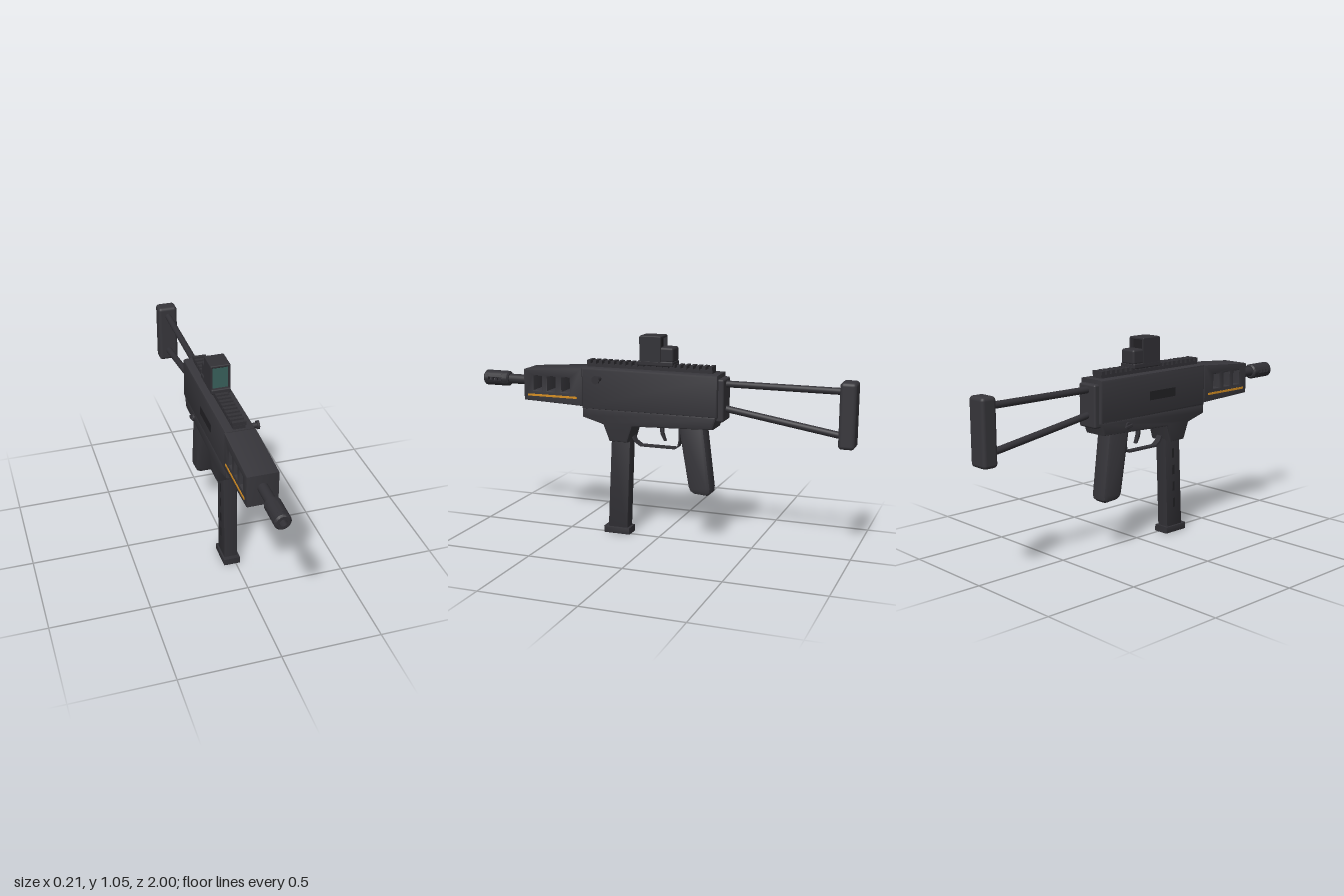
import * as THREE from 'three';
import { RoundedBoxGeometry } from 'three/addons/geometries/RoundedBoxGeometry.js';
import { toCreasedNormals } from 'three/addons/utils/BufferGeometryUtils.js';

export function createModel() {
  const root = new THREE.Group();
  const model = new THREE.Group();
  model.name = 'body';
  model.position.x = -0.02; // the side knob shifts the body off centre
  root.add(model);

  const mat = (name, color) => {
    const m = new THREE.MeshStandardMaterial({ color });
    m.name = name;
    return m;
  };
  const polymer = mat('charcoal polymer', 0x37363b);
  const steel = mat('dark steel', 0x323136);
  const recess = mat('recess black', 0x222125);
  const amber = mat('amber stripe', 0xd48d22);
  const lens = mat('teal lens', 0x39605b);

  const add = (name, geo, material, x = 0, y = 0, z = 0) => {
    const mesh = new THREE.Mesh(geo, material);
    mesh.name = name;
    mesh.position.set(x, y, z);
    model.add(mesh);
    return mesh;
  };
  const box = (name, material, size, pos) =>
    add(name, new THREE.BoxGeometry(...size), material, ...pos);
  const rounded = (name, material, size, r, pos) =>
    add(name, new RoundedBoxGeometry(...size, 3, r), material, ...pos);
  const points = (list) => list.map(([a, b]) => new THREE.Vector2(a, b));

  // Extrude a (z, y) side profile across x, with a bevelled edge
  const slab = (name, material, shape, width, bevel) => {
    const geo = new THREE.ExtrudeGeometry(shape, {
      depth: width - 2 * bevel, bevelEnabled: bevel > 0, bevelSize: bevel,
      bevelThickness: bevel, bevelOffset: -bevel, bevelSegments: 2, curveSegments: 12,
    });
    geo.translate(0, 0, -(width - 2 * bevel) / 2);
    geo.rotateY(-Math.PI / 2);
    return add(name, toCreasedNormals(geo, 0.6), material);
  };
  // Round rod between two points
  const rod = (name, material, a, b, r, sides = 20) => {
    const from = new THREE.Vector3(...a), to = new THREE.Vector3(...b);
    const dir = to.clone().sub(from);
    const mesh = add(name, new THREE.CylinderGeometry(r, r, dir.length(), sides), material);
    mesh.position.copy(from).add(to).multiplyScalar(0.5);
    mesh.quaternion.setFromUnitVectors(new THREE.Vector3(0, 1, 0), dir.normalize());
    return mesh;
  };

  // Upper and lower receiver
  slab('upperReceiver', polymer, new THREE.Shape(points([
    [0.405, 0.665], [0.405, 0.88], [-0.325, 0.88], [-0.325, 0.665]])), 0.15, 0.012);
  slab('lowerReceiver', polymer, new THREE.Shape(points([
    [0.405, 0.672], [0.405, 0.62], [0.29, 0.588], [0.256, 0.502], [0.156, 0.502],
    [0.128, 0.588], [-0.30, 0.604], [-0.323, 0.672]])), 0.142, 0.012);
  rounded('rearCap', polymer, [0.116, 0.215, 0.05], 0.01, [0, 0.752, -0.327]);
  box('ejectionPort', recess, [0.008, 0.045, 0.18], [-0.073, 0.765, 0.09]);

  // Handguard with three windows cut through
  const guard = new THREE.Shape(points([[0.735, 0.69], [0.735, 0.852], [0.40, 0.877], [0.40, 0.678]]));
  for (const z of [0.655, 0.577, 0.495]) {
    guard.holes.push(new THREE.Path(points([
      [z - 0.023, 0.745], [z + 0.023, 0.745], [z + 0.023, 0.82], [z - 0.023, 0.82]])));
  }
  slab('handguard', polymer, guard, 0.154, 0.006);
  for (const s of [-1, 1]) box('accentStripe', amber, [0.006, 0.011, 0.28], [s * 0.077, 0.72, 0.57]);

  // Barrel and vented muzzle device
  const axis = 0.783;
  rod('barrel', steel, [0, axis, 0.7], [0, axis, 0.87], 0.026);
  const ring = (z0, z1, front) => {
    const c = 0.008;
    const profile = front
      ? [[0.018, z0], [0.04, z0], [0.04, z1 - c], [0.032, z1], [0.018, z1], [0.018, z0]]
      : [[0, z0], [0.032, z0], [0.04, z0 + c], [0.04, z1], [0, z1]];
    const geo = new THREE.LatheGeometry(points(profile), 24).rotateX(Math.PI / 2);
    add('muzzleRing', toCreasedNormals(geo, 0.6), steel, 0, axis, 0);
  };
  ring(0.853, 0.89, false);
  ring(0.97, 1.0, true);
  for (const s of [0, Math.PI]) {
    const arc = new THREE.Shape();
    arc.absarc(0, 0, 0.04, s + 0.22, s + Math.PI - 0.22, false);
    arc.absarc(0, 0, 0.018, s + Math.PI - 0.48, s + 0.48, true);
    const geo = new THREE.ExtrudeGeometry(arc, { depth: 0.08, bevelEnabled: false, curveSegments: 14 });
    add('muzzleShell', toCreasedNormals(geo, 0.5), steel, 0, axis, 0.89);
  }
  for (const z of [0.897, 0.923, 0.95]) {
    for (const s of [-1, 1]) box('muzzleBridge', steel, [0.02, 0.018, 0.012], [s * 0.0295, axis, z]);
  }

  // Top rail
  box('railBase', steel, [0.06, 0.022, 0.675], [0, 0.886, 0.053]);
  for (let i = 0; i < 21; i++) {
    box('railTooth', steel, [0.068, 0.02, 0.018], [0, 0.904, 0.38 - i * 0.0327]);
  }

  // Reflex sight: mount, hollow hood, lens and rear housing
  rounded('sightMount', steel, [0.098, 0.026, 0.188], 0.006, [0, 0.917, 0.011]);
  for (const s of [-1, 1]) box('hoodSide', steel, [0.01, 0.122, 0.114], [s * 0.045, 0.987, 0.037]);
  rounded('hoodTop', steel, [0.1, 0.014, 0.114], 0.005, [0, 1.048, 0.037]);
  box('lens', lens, [0.08, 0.115, 0.006], [0, 0.985, 0.084]);
  box('lensBacking', recess, [0.08, 0.115, 0.006], [0, 0.985, 0.0]);
  rounded('sightHousing', steel, [0.09, 0.076, 0.075], 0.012, [0, 0.962, -0.046]);

  // Magazine, base plate and witness slots
  slab('magazine', steel, new THREE.Shape(points([
    [0.256, 0.53], [0.152, 0.53], [0.172, 0.02], [0.28, 0.02]])), 0.07, 0.005);
  slab('magazineBase', steel, new THREE.Shape(points([
    [0.302, 0], [0.302, 0.035], [0.158, 0.035], [0.158, 0]])), 0.088, 0.004);
  for (let i = 0; i < 4; i++) {
    box('witnessSlot', recess, [0.004, 0.05, 0.014], [-0.0345, 0.43 - i * 0.09, 0.209 + i * 0.0035]);
  }

  // Pistol grip
  slab('grip', polymer, new THREE.Shape(points([
    [-0.108, 0.62], [-0.245, 0.62], [-0.286, 0.295], [-0.284, 0.268], [-0.265, 0.253],
    [-0.195, 0.258], [-0.175, 0.27], [-0.165, 0.292]])), 0.098, 0.02);

  // Trigger and its guard
  slab('trigger', steel, new THREE.Shape(points([
    [0.004, 0.61], [-0.018, 0.61], [-0.019, 0.56], [-0.033, 0.515], [-0.023, 0.515], [-0.004, 0.55]])), 0.022, 0.003);
  const bow = [[0.15, 0.52], [0.135, 0.497], [0.105, 0.477], [-0.085, 0.477], [-0.106, 0.492], [-0.113, 0.53], [-0.113, 0.61]];
  const inner = [[-0.105, 0.61], [-0.105, 0.53], [-0.099, 0.497], [-0.083, 0.486], [0.102, 0.486], [0.129, 0.505], [0.142, 0.53]];
  slab('triggerGuard', steel, new THREE.Shape(points([...bow, ...inner])), 0.034, 0);

  // Skeleton stock
  rod('upperStrut', steel, [0, 0.83, -0.33], [0, 0.83, -0.94], 0.017);
  rod('lowerStrut', steel, [0, 0.708, -0.33], [0, 0.612, -0.94], 0.017);
  rounded('buttPad', polymer, [0.106, 0.325, 0.08], 0.018, [0, 0.718, -0.96]);

  // Charging handle on the left, selector on the right
  rod('chargingStem', steel, [0.06, 0.828, 0.305], [0.115, 0.828, 0.305], 0.013);
  rod('chargingKnob', steel, [0.113, 0.828, 0.305], [0.125, 0.828, 0.305], 0.021);
  rod('selectorPivot', steel, [-0.06, 0.635, -0.145], [-0.08, 0.635, -0.145], 0.018);
  const lever = rounded('selectorLever', steel, [0.01, 0.016, 0.05], 0.004, [-0.082, 0.632, -0.15]);
  lever.rotation.x = -0.2;

  return root;
}
